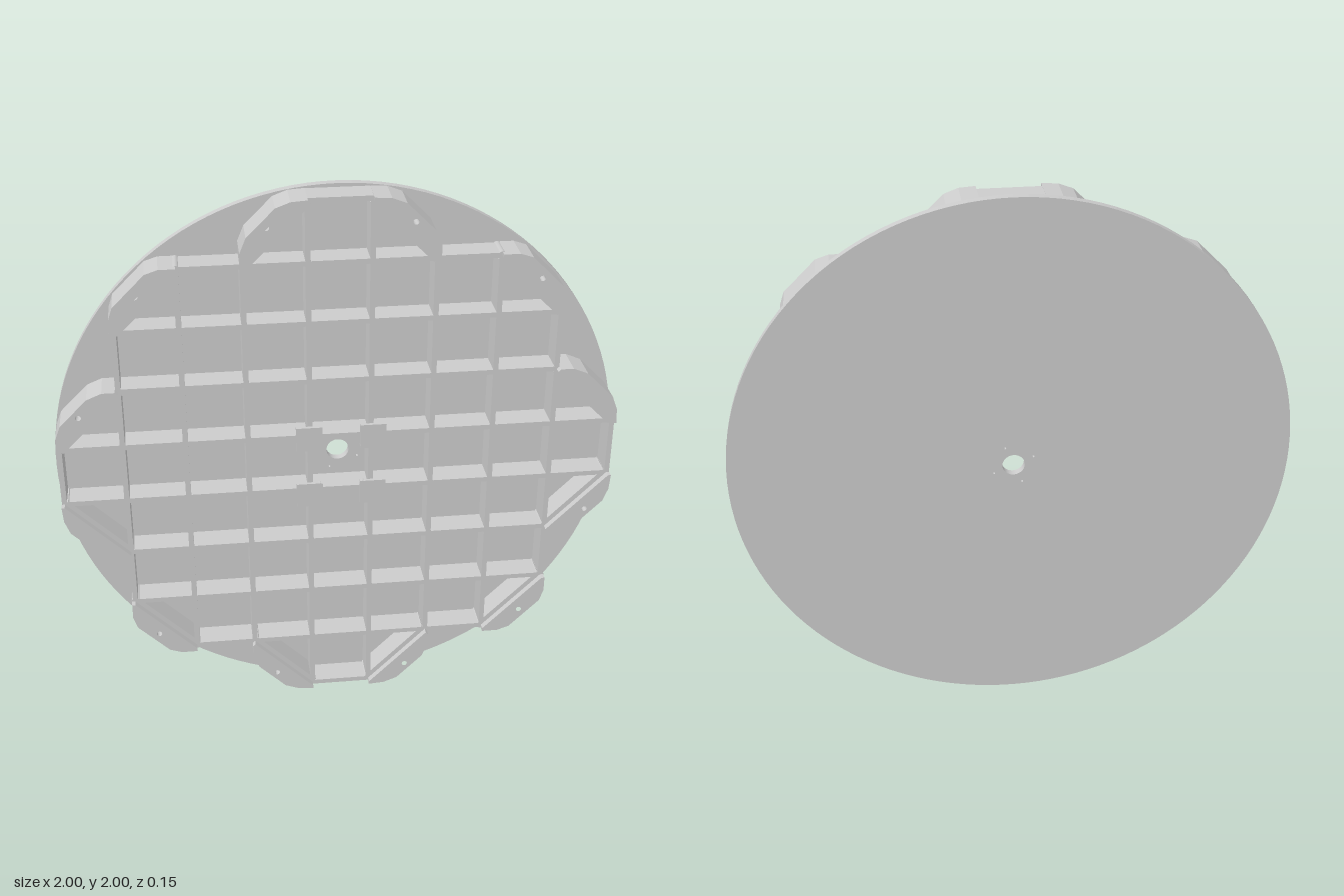
import * as THREE from 'three';

const material = new THREE.MeshStandardMaterial({ color: 0xcccccc });
const BACK = -0.075, FACE = -0.047, RIB_TOP = 0.047, BLOCK_TOP = 0.071, TOP = 0.075;
const RIB = 0.018;
const PITCH = [0.108, 0.325, 0.543, 0.76];
const END = 0.978;

export function createModel() {
  const model = new THREE.Group();
  // Work around the disc centre, one unit above the floor
  const body = new THREE.Group();
  body.name = 'ribbedDisc';
  body.position.y = 1;
  model.add(body);

  const add = (name, geometry, x = 0, y = 0, z = 0, parent = body) => {
    const mesh = new THREE.Mesh(geometry, material);
    mesh.name = name;
    mesh.position.set(x, y, z);
    parent.add(mesh);
    return mesh;
  };
  const box = (name, x, y, w, h, z0, z1, parent) =>
    add(name, new THREE.BoxGeometry(w, h, z1 - z0), x, y, (z0 + z1) / 2, parent);
  const pin = (name, x, y, r, z0, z1, parent) => {
    const g = new THREE.CylinderGeometry(r, r, z1 - z0, 12).rotateX(Math.PI / 2);
    return add(name, g, x, y, (z0 + z1) / 2, parent);
  };
  const hole = (x, y, r) => new THREE.Path().absarc(x, y, r, 0, Math.PI * 2, true);
  const extrude = (shape, z0, z1, curveSegments) =>
    new THREE.ExtrudeGeometry(shape, { depth: z1 - z0, bevelEnabled: false, curveSegments }).translate(0, 0, z0);

  // Face disc with the centre bore and four small bolt holes
  const disc = new THREE.Shape().absarc(0, 0, 1, 0, Math.PI * 2, false);
  disc.holes.push(hole(0, 0, 0.04));
  for (const [x, y] of [[-0.07, 0.03], [0.03, 0.07], [0.07, -0.03], [-0.03, -0.07]]) {
    disc.holes.push(hole(x, y, 0.004));
  }
  add('disc', extrude(disc, BACK, FACE, 64));

  // Square grid of ribs: half length belonging to each pitch line
  const ribs = new THREE.Group();
  ribs.name = 'ribs';
  body.add(ribs);
  const half = [END, 0.76, 0.76, 0.543];
  PITCH.forEach((p, i) => {
    for (const s of [-1, 1]) {
      const length = half[i] * 2 + RIB;
      box('verticalRib', s * p, 0, RIB, length, FACE, RIB_TOP, ribs);
      box('horizontalRib', 0, s * p, length, RIB, FACE, RIB_TOP, ribs);
    }
  });
  for (const s of [-1, 1]) {
    box('endRib', s * END, 0, RIB, 0.216 + RIB, FACE, RIB_TOP, ribs);
    box('endRib', 0, s * END, 0.216 + RIB, RIB, FACE, RIB_TOP, ribs);
  }

  // Rounded columns where the ribs cross
  const columns = new THREE.Group();
  columns.name = 'columns';
  body.add(columns);
  for (const x of PITCH) for (const y of PITCH) {
    if (x + y > 1.4) continue;
    for (const sx of [-1, 1]) for (const sy of [-1, 1]) {
      pin('column', sx * x, sy * y, 0.014, FACE, RIB_TOP, columns);
    }
  }

  // Chamfered corner blocks, each with a screw hole
  const blocks = new THREE.Group();
  blocks.name = 'cornerBlocks';
  body.add(blocks);
  const cornerOutline = [[0.543, 0.76], [0.76, 0.543], [0.772, 0.543], [0.772, 0.6],
    [0.757, 0.645], [0.645, 0.757], [0.6, 0.772], [0.543, 0.772]];
  const topOutline = [[0.108, 0.977], [0.325, 0.76], [0.334, 0.77], [0.334, 0.815],
    [0.312, 0.868], [0.215, 0.965], [0.165, 0.984], [0.108, 0.988]];
  const swap = (points) => points.map(([x, y]) => [y, x]);
  const outlines = [
    [cornerOutline, [0.68, 0.68]],
    [topOutline, [0.245, 0.9]],
    [swap(topOutline), [0.9, 0.245]],
  ];
  for (const [outline, [hx, hy]] of outlines) {
    for (const sx of [-1, 1]) for (const sy of [-1, 1]) {
      const shape = new THREE.Shape(outline.map(([x, y]) => new THREE.Vector2(sx * x, sy * y)));
      shape.holes.push(hole(sx * hx, sy * hy, 0.01));
      add('cornerBlock', extrude(shape, FACE, BLOCK_TOP, 8), 0, 0, 0, blocks);
      // Thin diagonal rib along the inner side of the block
      const [a, b] = outline;
      const rib = box('diagonalRib', sx * ((a[0] + b[0]) / 2 - 0.006), sy * ((a[1] + b[1]) / 2 - 0.006),
        0.307, RIB, FACE, RIB_TOP, blocks);
      rib.rotation.z = -sx * sy * Math.PI / 4;
    }
  }

  // Four square pads raised over the crossings of the centre cell
  for (const sx of [-1, 1]) for (const sy of [-1, 1]) {
    const pad = new THREE.Group();
    pad.name = 'mountingPad';
    body.add(pad);
    box('plate', sx * 0.113, sy * 0.113, 0.092, 0.092, 0.063, TOP, pad);
    box('support', sx * PITCH[0], sy * PITCH[0], 0.022, 0.022, RIB_TOP, 0.063, pad);
    pin('screw', sx * 0.076, sy * 0.076, 0.01, 0.06, TOP, pad);
  }
  return model;
}
